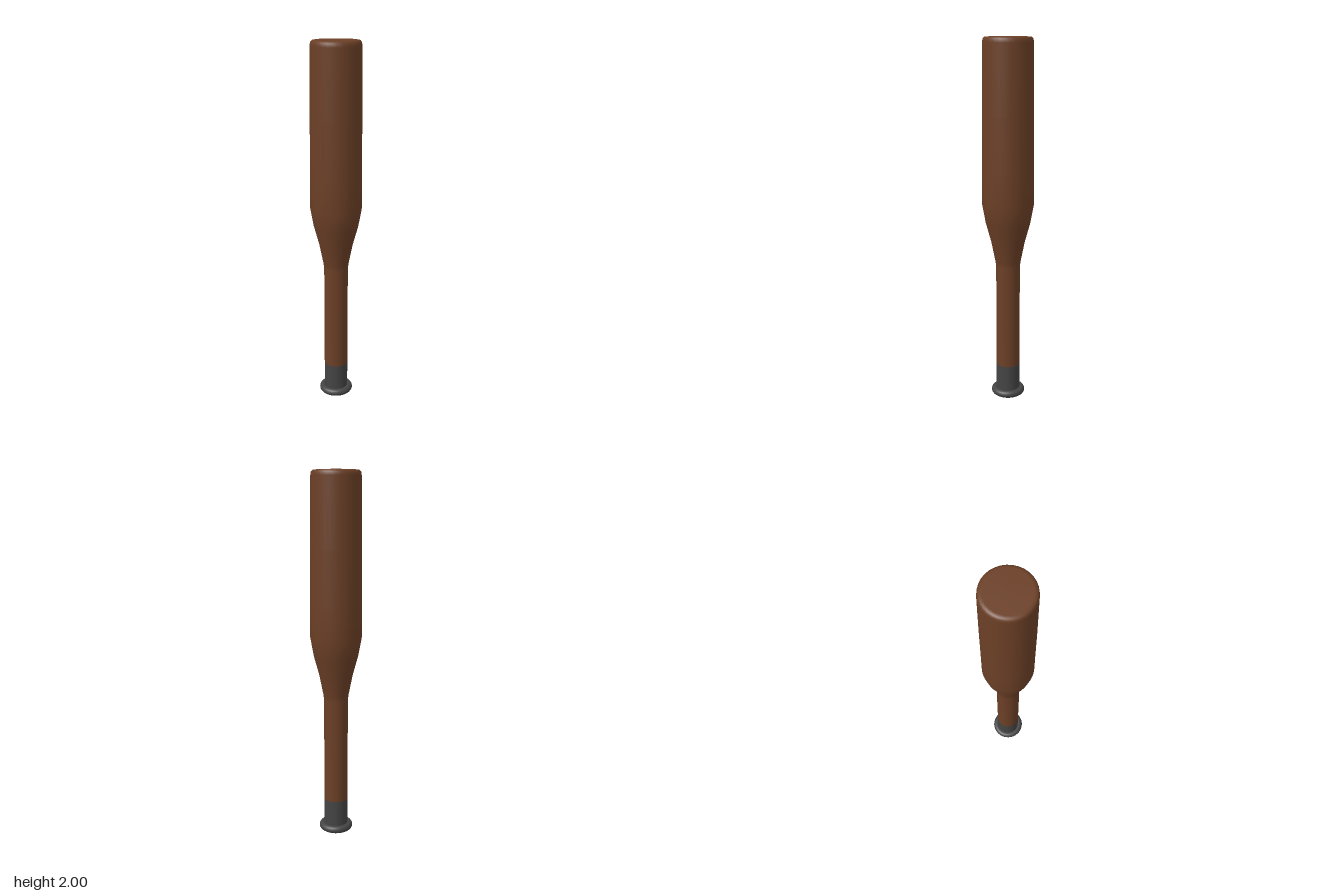
import * as THREE from 'three';

const SIDES = 32;

function lathe(points, material, name) {
  const profile = points.map(([r, y]) => new THREE.Vector2(r, y));
  const mesh = new THREE.Mesh(new THREE.LatheGeometry(profile, SIDES), material);
  mesh.name = name;
  return mesh;
}

export function createModel() {
  const wood = new THREE.MeshStandardMaterial({ color: 0x6b3f26 });
  wood.name = 'brown wood';
  const rubber = new THREE.MeshStandardMaterial({ color: 0x444444 });
  rubber.name = 'dark grey grip';

  const bat = new THREE.Group();
  bat.name = 'bat';

  // Slim handle, flaring into the barrel with a softly rounded flat tip
  bat.add(lathe([
    [0.066, 0.185], [0.066, 0.77], [0.07, 0.8], [0.092, 0.91], [0.122, 1.02],
    [0.14, 1.12], [0.1385, 1.3], [0.137, 1.6], [0.133, 1.97],
    [0.131, 1.988], [0.123, 1.998], [0.11, 2], [0, 2],
  ], wood, 'barrelAndHandle'));

  // Grip sleeve and its recessed end
  bat.add(lathe([[0.066, 0.02], [0.066, 0.185]], rubber, 'grip'));
  const end = new THREE.Mesh(new THREE.CircleGeometry(0.066, SIDES), rubber);
  end.name = 'gripEnd';
  end.rotation.x = Math.PI / 2;
  end.position.y = 0.02;
  bat.add(end);

  // Ring-shaped knob
  const knob = new THREE.Mesh(new THREE.TorusGeometry(0.074, 0.02, 16, SIDES), rubber);
  knob.name = 'knob';
  knob.rotation.x = Math.PI / 2;
  knob.position.y = 0.02;
  bat.add(knob);

  return bat;
}
